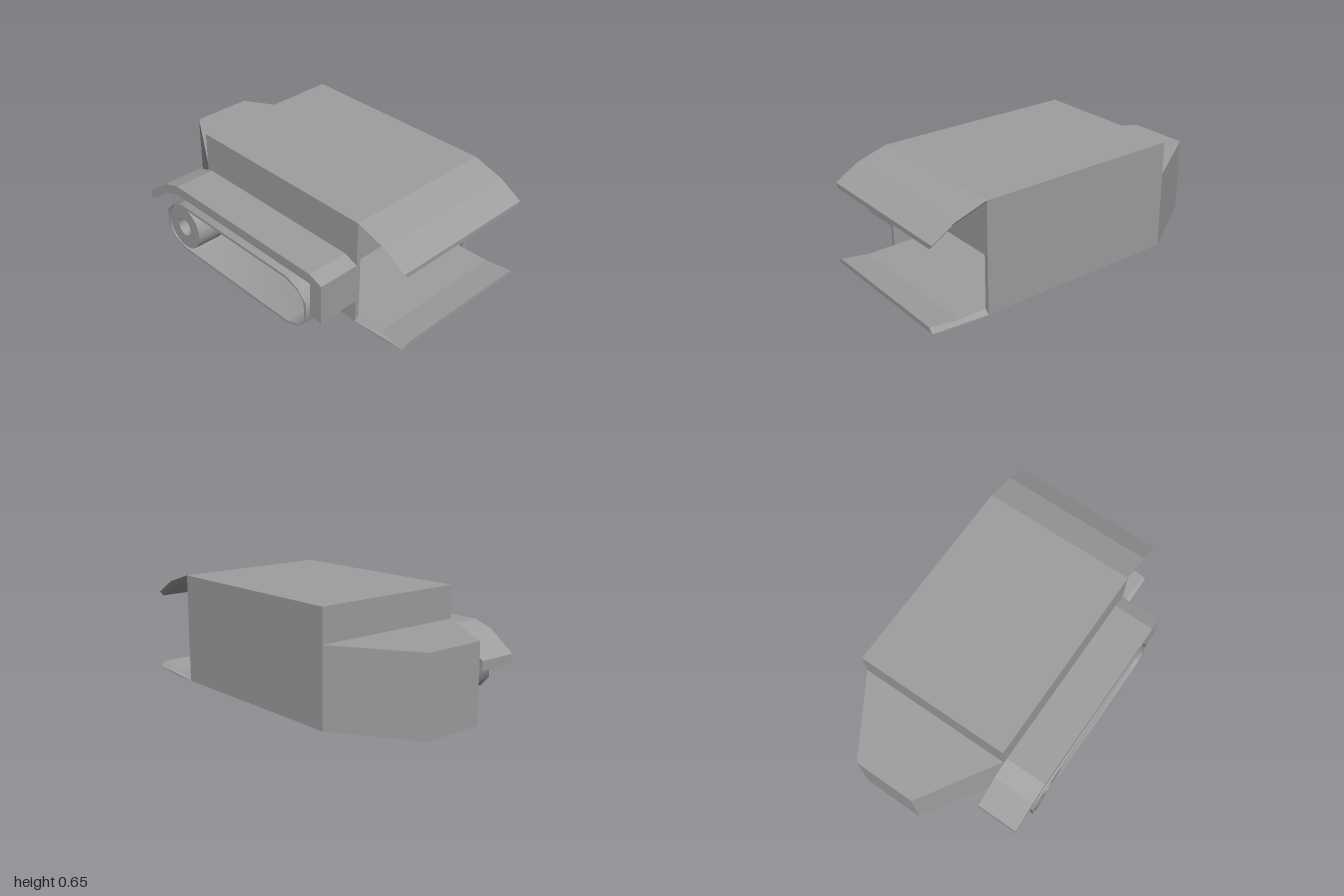
import * as THREE from 'three';
import { toCreasedNormals } from 'three/addons/utils/BufferGeometryUtils.js';

const material = new THREE.MeshStandardMaterial({ color: 0x9e9e9e, side: THREE.DoubleSide });
const toVectors = (points) => points.map(([x, y]) => new THREE.Vector2(x, y));

// Extrude an outline (with an optional hole) by a depth; edges sharper than the crease angle stay hard
function prism(name, outline, depth, hole, crease = 0.05) {
  const shape = new THREE.Shape(toVectors(outline));
  if (hole) shape.holes.push(new THREE.Path(toVectors(hole)));
  const geometry = new THREE.ExtrudeGeometry(shape, { depth, bevelEnabled: false });
  const mesh = new THREE.Mesh(toCreasedNormals(geometry, crease), material);
  mesh.name = name;
  return mesh;
}

// Bent plate whose inner face is narrower than its outer face, giving mitred side edges
function flap(name, outer, inner, width, inset) {
  const mesh = prism(name, [...outer, ...[...inner].reverse()], width);
  const position = mesh.geometry.attributes.position;
  for (let i = 0; i < position.count; i++) {
    const isInner = inner.some(([x, y]) => Math.hypot(x - position.getX(i), y - position.getY(i)) < 1e-4);
    if (isInner) position.setZ(i, THREE.MathUtils.clamp(position.getZ(i), inset, width - inset));
  }
  mesh.geometry.computeVertexNormals();
  return mesh;
}

const rectangle = (x0, y0, x1, y1) => [[x0, y0], [x1, y0], [x1, y1], [x0, y1]];

function circle(x, y, radius, sides = 32) {
  return Array.from({ length: sides }, (_, i) => {
    const angle = (i / sides) * Math.PI * 2;
    return [x + radius * Math.cos(angle), y + radius * Math.sin(angle)];
  });
}

// Side outline of a track: a long loop with faceted ends, inset by d
function trackOutline(d) {
  const end = [[0, d], [0.09, 0.035 + d * 0.7], [0.148 - d, 0.097], [0.148 - d, 0.214], [0.09, 0.28 - d * 0.7], [0, 0.315 - d]];
  const front = end.map(([x, y]) => [0.41 + x, y]);
  const rear = end.map(([x, y]) => [-0.48 - x, y]).reverse();
  return [...front, ...rear];
}

export function createModel() {
  const group = new THREE.Group();
  const back = -0.588, side = 0.334, bottom = 0.017, top = 0.65;
  const wall = 0.025, bay = 0.33, mouth = 0.663;

  // Closed part of the hull
  const hull = new THREE.Mesh(new THREE.BoxGeometry(bay + 0.55, top - bottom, side - back), material);
  hull.name = 'hull';
  hull.position.set((bay - 0.55) / 2, (top + bottom) / 2, (side + back) / 2);
  group.add(hull);

  // Open loading bay at the end of the hull
  const bayWalls = prism('bayWalls', rectangle(-side, bottom, -back, top), mouth - bay,
    rectangle(-side + wall, bottom + wall, -back - wall, top - wall));
  bayWalls.rotation.y = Math.PI / 2;
  bayWalls.position.x = bay;
  group.add(bayWalls);

  // Tapered nose
  const nose = prism('nose', [[-1, -0.31], [-0.55, back], [-0.55, side], [-1, 0.055]], 0.46 - bottom);
  nose.rotation.x = Math.PI / 2;
  nose.position.y = 0.46;
  group.add(nose);

  // Bent flaps above and below the bay mouth
  const upperFlap = flap('upperFlap', [[mouth, top], [0.845, 0.592], [0.98, 0.51]],
    [[mouth, top - wall], [0.835, 0.57], [0.98, 0.484]], side - back, wall);
  const lowerFlap = flap('lowerFlap', [[mouth, bottom], [0.835, bottom], [1, 0.04]],
    [[mouth, bottom + wall], [0.83, bottom + wall], [1, 0.066]], side - back, wall);
  for (const plate of [upperFlap, lowerFlap]) {
    plate.position.z = back;
    group.add(plate);
  }

  // Mudguard over the track
  const mudguard = prism('mudguard', [
    [-0.79, 0.265], [-0.63, 0.385], [-0.515, 0.42], [0.58, 0.42], [mouth, 0.388], [mouth, 0.153],
    [0.583, 0.153], [0.583, 0.362], [-0.515, 0.362], [-0.62, 0.328], [-0.79, 0.21],
  ], 0.25);

  // Track belt with softly rounded ends
  const belt = prism('trackBelt', trackOutline(0), 0.256, trackOutline(0.016), 0.8);

  // Drive wheel with a bored hub
  const wheel = prism('driveWheel', circle(-0.478, 0.16, 0.137), 0.25, circle(-0.478, 0.16, 0.055), 0.5);

  for (const part of [mudguard, belt, wheel]) {
    part.position.z = side;
    group.add(part);
  }
  return group;
}
